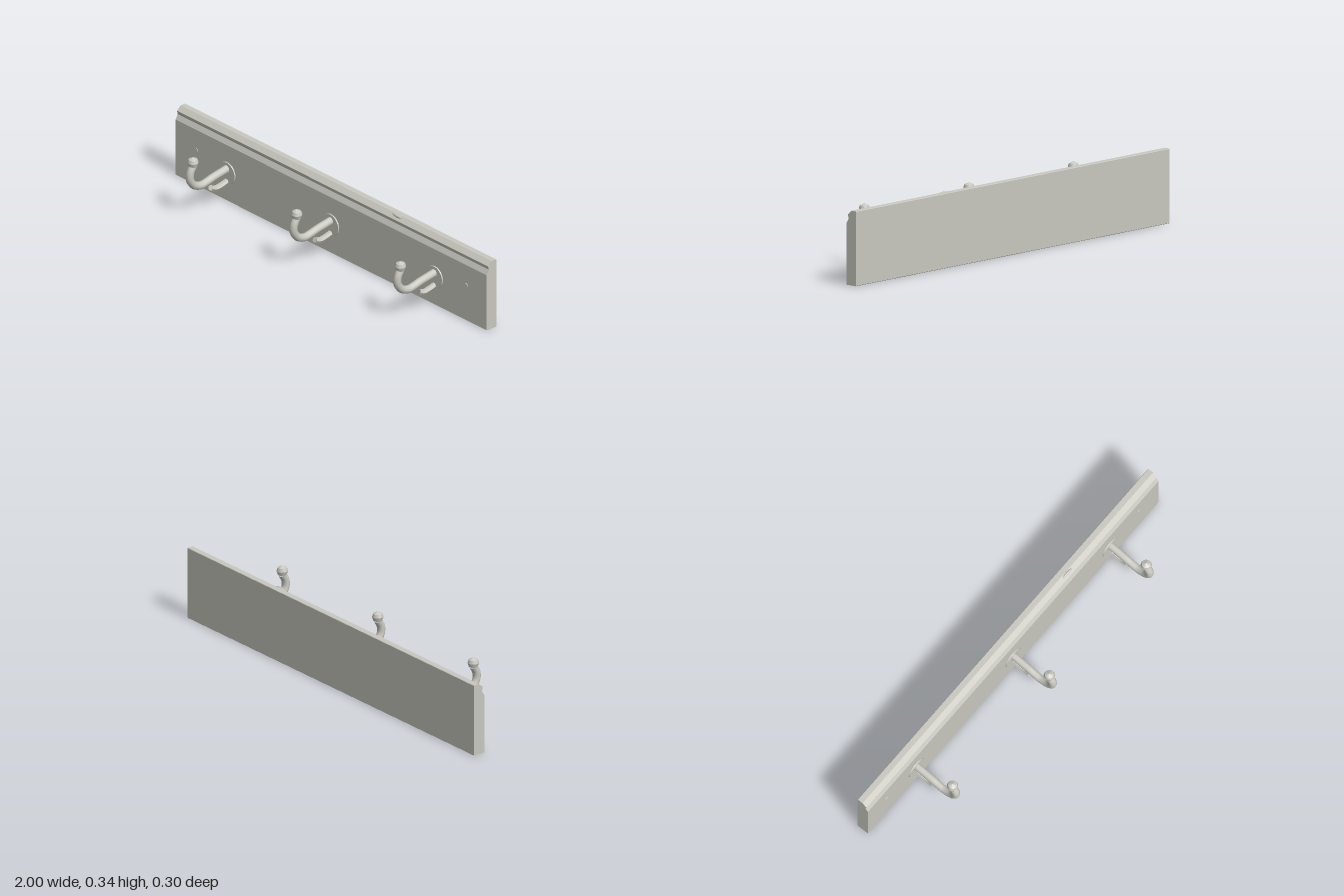
import * as THREE from 'three';

// Geometry with one normal per facet
function faceted(geometry) {
  const g = geometry.index ? geometry.toNonIndexed() : geometry;
  g.computeVertexNormals();
  return g;
}

// Curve lying in the x = 0 plane, from [z, y] pairs
const sideCurve = (pts) => new THREE.CatmullRomCurve3(pts.map(([z, y]) => new THREE.Vector3(0, y, z)));

export function createModel() {
  const paint = new THREE.MeshStandardMaterial({ color: 0xc8c8c0 });
  paint.name = 'warmGrey';
  const model = new THREE.Group();
  model.name = 'coatRack';

  const add = (parent, name, geometry, x = 0, y = 0, z = 0) => {
    const mesh = new THREE.Mesh(geometry, paint);
    mesh.name = name;
    mesh.position.set(x, y, z);
    parent.add(mesh);
    return mesh;
  };

  // Back board: moulded profile as [z, y], run along x
  const profile = [
    [-0.148, 0], [-0.094, 0], [-0.092, 0.002], [-0.092, 0.274], [-0.105, 0.297],
    [-0.1, 0.315], [-0.122, 0.334], [-0.148, 0.334], [-0.15, 0.332], [-0.15, 0.002],
  ];
  const shape = new THREE.Shape(profile.map(([z, y]) => new THREE.Vector2(-z, y)));
  const board = new THREE.ExtrudeGeometry(shape, { depth: 2, bevelEnabled: false });
  board.rotateY(Math.PI / 2);
  board.translate(-1, 0, 0);
  add(model, 'board', board);

  // Small lens-shaped bump on the top moulding
  const bump = add(model, 'topBump', new THREE.SphereGeometry(1, 12, 8), 0.4, 0.329, -0.114);
  bump.scale.set(0.028, 0.007, 0.007);

  // Screw heads, almost flush with the board
  for (const x of [-0.868, 0.868]) {
    const head = new THREE.CylinderGeometry(0.011, 0.013, 0.004, 12).rotateX(Math.PI / 2);
    add(model, 'screwHead', head, x, 0.173, -0.092);
  }

  // Shared hook geometries
  const plate = new THREE.CylinderGeometry(0.051, 0.0525, 0.008, 24).rotateX(Math.PI / 2);
  const arm = new THREE.TubeGeometry(sideCurve([
    [-0.092, 0.161], [-0.045, 0.154], [0, 0.147], [0.035, 0.139], [0.07, 0.135],
    [0.109, 0.151], [0.132, 0.185], [0.131, 0.217], [0.113, 0.25],
  ]), 32, 0.0182, 12);
  const lowerCurve = sideCurve([[-0.092, 0.1], [-0.055, 0.091], [-0.028, 0.0875], [-0.012, 0.0905], [0.006, 0.1]]);
  const lower = faceted(new THREE.TubeGeometry(lowerCurve, 8, 0.0135, 6));
  const tipCap = new THREE.CircleGeometry(0.0135, 6);
  const tipPoint = lowerCurve.getPoint(1);
  const tipAim = tipPoint.clone().add(lowerCurve.getTangent(1));

  // Knob: stacked cone bands, [radius, y] from bottom to top
  const bands = [[0, 0.247], [0.02, 0.247], [0.0255, 0.265], [0.0205, 0.28], [0, 0.29]];
  const knob = bands.slice(1).map(([r, y], i) => {
    const [r0, y0] = bands[i];
    const h = y - y0;
    return new THREE.CylinderGeometry(r, r0, h, 10, 1, true).translate(0, y0 + h / 2, 0);
  });

  // Three double hooks
  for (const x of [-0.667, 0, 0.667]) {
    const hook = new THREE.Group();
    hook.name = 'hook';
    hook.position.x = x;
    add(hook, 'mountingPlate', plate, 0, 0.14, -0.0905);
    add(hook, 'upperArm', arm);
    add(hook, 'lowerArm', lower);
    const cap = add(hook, 'lowerTip', tipCap, tipPoint.x, tipPoint.y, tipPoint.z);
    cap.lookAt(tipAim);
    cap.rotateZ(Math.PI / 2);
    knob.forEach((band) => add(hook, 'knob', band, 0, 0, 0.114));
    model.add(hook);
  }
  return model;
}
